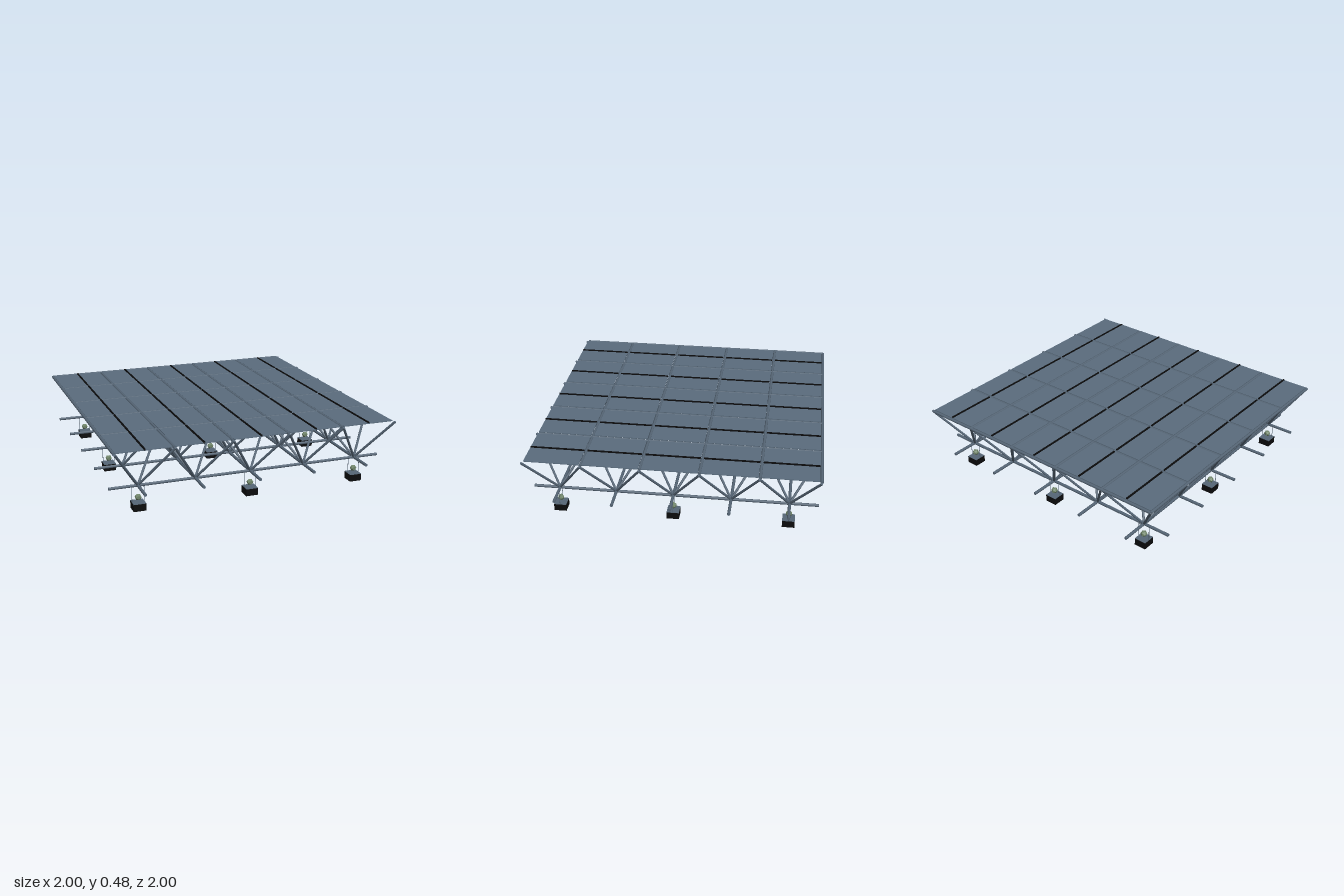
import * as THREE from 'three';

const material = (name, color) => {
  const m = new THREE.MeshStandardMaterial({ color });
  m.name = name;
  return m;
};

const PITCH = 0.397, START = -0.988, END = 0.982;
const TOP_Y = 0.468, LOW_Y = 0.168;
const BAYS = [0, 1, 2, 3, 4];
const topNode = (i) => START + i * PITCH;
const lowNode = (i) => START + (i + 0.5) * PITCH;

export function createModel() {
  const model = new THREE.Group();
  model.name = 'spaceFrameRoof';
  const steel = material('slate steel', 0x566676);
  const glass = material('slate panel', 0x5a6c7d);
  const black = material('black', 0x0b0b0c);
  const green = material('sage green', 0x70856a);

  const group = (name, parent = model) => {
    const g = new THREE.Group();
    g.name = name;
    parent.add(g);
    return g;
  };
  const add = (parent, name, geometry, mat, x, y, z) => {
    const mesh = new THREE.Mesh(geometry, mat);
    mesh.name = name;
    mesh.position.set(x, y, z);
    parent.add(mesh);
    return mesh;
  };
  // Round bar between two points
  const up = new THREE.Vector3(0, 1, 0);
  const bar = (parent, name, a, b, radius, mat = steel) => {
    const from = new THREE.Vector3(...a), to = new THREE.Vector3(...b);
    const dir = to.clone().sub(from);
    const mid = from.add(to).multiplyScalar(0.5);
    const geometry = new THREE.CylinderGeometry(radius, radius, dir.length(), 8);
    add(parent, name, geometry, mat, mid.x, mid.y, mid.z)
      .quaternion.setFromUnitVectors(up, dir.normalize());
  };

  // Upper and lower chord grids
  const chords = group('chords');
  for (const i of BAYS) {
    for (const [name, p, y] of [['topChord', topNode(i), TOP_Y], ['bottomChord', lowNode(i), LOW_Y]]) {
      bar(chords, name, [START, y, p], [END, y, p], 0.0105);
      bar(chords, name, [p, y, START], [p, y, END], 0.0105);
    }
  }

  // Inverted pyramids of diagonals with roof panels above them
  const diagonals = group('diagonals');
  const roof = group('roofPanels');
  const panelGeometry = new THREE.BoxGeometry(0.374, 0.005, 0.376);
  const seamGeometry = new THREE.BoxGeometry(0.011, 0.014, 0.374);
  for (const i of BAYS) {
    for (const j of BAYS) {
      const x = lowNode(i), z = lowNode(j);
      for (const di of [0, 1]) {
        for (const dj of [0, 1]) {
          bar(diagonals, 'diagonal', [x, LOW_Y, z], [topNode(i + di), TOP_Y, topNode(j + dj)], 0.0085);
        }
      }
      add(roof, 'panel', panelGeometry, glass, x - 0.004, 0.4735, z);
      add(roof, 'panelSeam', seamGeometry, black, x, 0.476, z);
    }
  }

  // Hanging planters under every other lower node
  const boxGeometry = new THREE.BoxGeometry(0.086, 0.049, 0.086);
  const topGeometry = new THREE.BoxGeometry(0.086, 0.003, 0.086);
  const ballGeometry = new THREE.IcosahedronGeometry(0.024, 0);
  const leaf = green;
  leaf.flatShading = true;
  for (const i of [0, 2, 4]) {
    for (const j of [0, 2, 4]) {
      const planter = group('hangingPlanter');
      planter.position.set(lowNode(i), 0, lowNode(j));
      add(planter, 'planterBox', boxGeometry, black, 0, 0.0245, 0);
      add(planter, 'planterTop', topGeometry, steel, 0, 0.0505, 0);
      add(planter, 'bush', ballGeometry, leaf, 0, 0.085, 0);
      for (const side of [-1, 1]) {
        bar(planter, 'hanger', [side * 0.042, 0.05, 0], [side * 0.042, LOW_Y, 0], 0.002);
      }
    }
  }
  return model;
}
